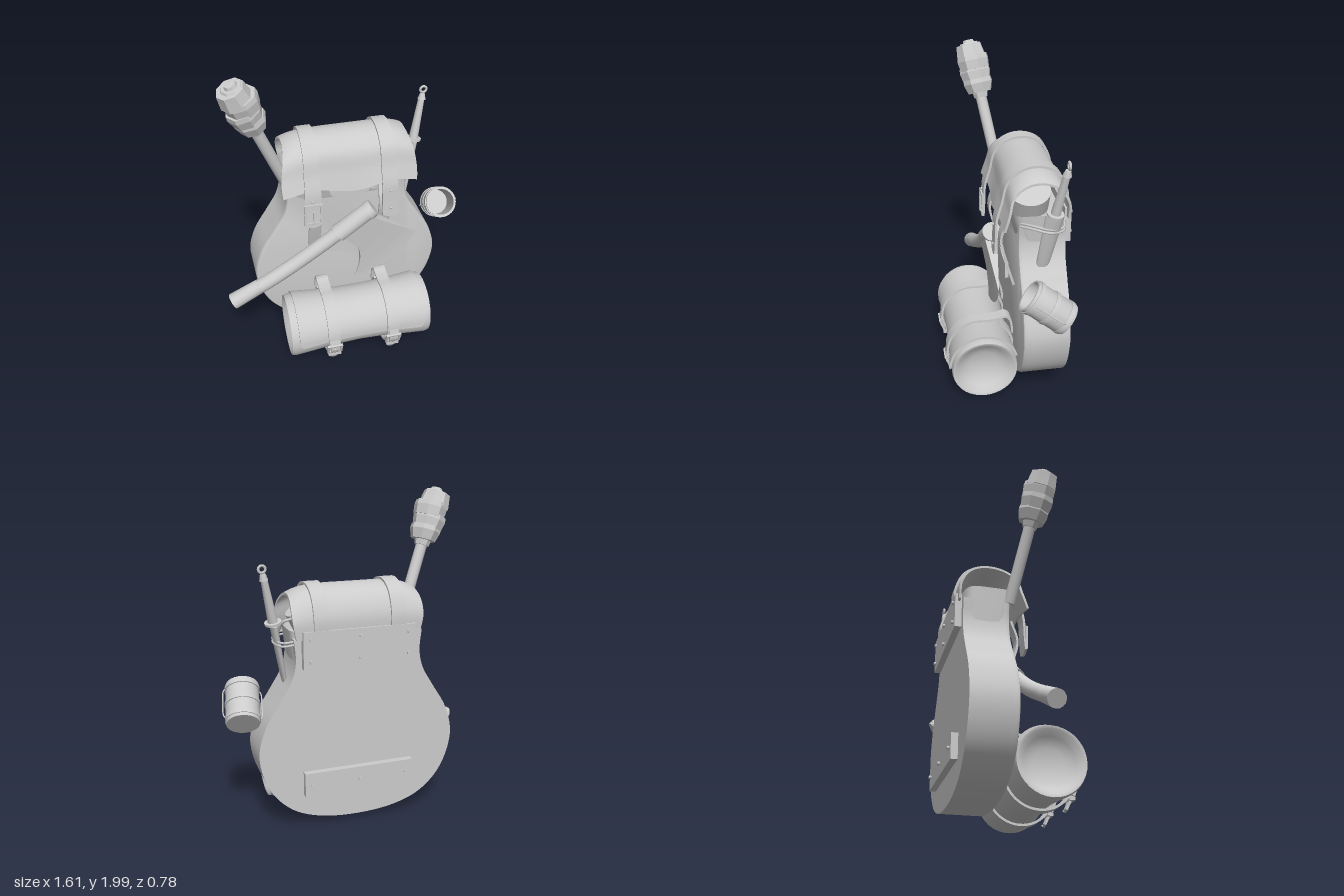
import * as THREE from 'three';
import { toCreasedNormals } from 'three/addons/utils/BufferGeometryUtils.js';

const V = (x, y, z) => new THREE.Vector3(x, y, z);
const UP = V(0, 1, 0);
const mat = new THREE.MeshStandardMaterial({ color: 0xcccccc, side: THREE.DoubleSide });
const flatMat = new THREE.MeshStandardMaterial({ color: 0xcccccc, flatShading: true });

function add(parent, name, geometry, material = mat) {
  const mesh = new THREE.Mesh(geometry, material);
  mesh.name = name;
  parent.add(mesh);
  return mesh;
}

// Group whose +y axis runs from a towards b
function along(parent, name, a, b) {
  const g = new THREE.Group();
  g.name = name;
  g.position.copy(a);
  g.quaternion.setFromUnitVectors(UP, b.clone().sub(a).normalize());
  parent.add(g);
  return g;
}

const lathe = (points, sides = 32, crease = 0.6) => toCreasedNormals(
  new THREE.LatheGeometry(points.map(p => new THREE.Vector2(p[0], p[1])), sides), crease);

function rod(parent, name, a, b, ra, rb, sides = 16) {
  const L = a.distanceTo(b);
  return add(along(parent, name, a, b), name, lathe([[0, 0], [ra, 0], [rb, L], [0, L]], sides));
}

function extrude(shape, depth, z, bevel = { bevelEnabled: false }) {
  const g = new THREE.ExtrudeGeometry(shape, { depth, curveSegments: 10, ...bevel });
  return toCreasedNormals(g.translate(0, 0, z), 0.5);
}

const tube = (points, r, n = 32, sides = 8) =>
  new THREE.TubeGeometry(new THREE.CatmullRomCurve3(points.map(p => V(...p))), n, r, sides);

// Leather strip of given width bent along a side profile of [z, y] points
function strip(profile, x, width, thick, n = 40, nx = 2, deform) {
  const curve = new THREE.CatmullRomCurve3(profile.map(([z, y]) => V(0, y, z)));
  const g = new THREE.BoxGeometry(width, 1, thick, nx, n, 1);
  const pos = g.attributes.position, p = V(), out = V(), X = V(1, 0, 0);
  for (let i = 0; i < pos.count; i++) {
    p.fromBufferAttribute(pos, i);
    const t = 0.5 - p.y, u = p.x / width * 2;
    out.crossVectors(X, curve.getTangentAt(t).negate());
    const q = curve.getPointAt(t).addScaledVector(out, p.z);
    q.x = p.x + x;
    if (deform) deform(q, t, u);
    pos.setXYZ(i, q.x, q.y, q.z);
  }
  g.computeVertexNormals();
  return g;
}

// Rectangular buckle with a tongue
function buckle(parent, x, y, z, w, h, tilt) {
  const s = new THREE.Shape(), hole = new THREE.Path(), b = 0.016;
  const rect = (p, a, c) => p.moveTo(-a, -c).lineTo(a, -c).lineTo(a, c).lineTo(-a, c).closePath();
  rect(s, w / 2, h / 2);
  rect(hole, w / 2 - b, h / 2 - b);
  s.holes.push(hole);
  const g = new THREE.Group();
  g.name = 'buckle';
  add(g, 'buckleFrame', extrude(s, 0.016, -0.008));
  add(g, 'buckleTongue', new THREE.BoxGeometry(0.01, h * 0.6, 0.012)).position.set(0, -h * 0.12, 0.01);
  g.position.set(x, y, z);
  g.rotation.x = tilt;
  parent.add(g);
}

// Pear-shaped pack, collar and back boards
function buildBody(root) {
  const half = [[0.25, 0.07], [0.42, 0.14], [0.55, 0.28], [0.615, 0.5], [0.575, 0.68],
    [0.48, 0.84], [0.41, 0.96], [0.385, 1.07], [0.395, 1.2]];
  const pts = [...half.map(([x, y]) => [-x, y]).reverse(), [0, 0.045], ...half];
  const s = new THREE.Shape();
  s.setFromPoints(new THREE.CatmullRomCurve3(pts.map(([x, y]) => V(x + 0.01, y, 0)))
    .getPoints(90).map(p => new THREE.Vector2(p.x, p.y)));
  add(root, 'packBody', extrude(s, 0.256, -0.332));
  add(root, 'frontPanel', extrude(s, 0.02, -0.095,
    { bevelThickness: 0.022, bevelSize: 0.012, bevelOffset: -0.012, bevelSegments: 3 }));

  const collar = new THREE.CylinderGeometry(1, 1, 1, 48, 6, true);
  const pos = collar.attributes.position;
  const round = c => Math.sign(c) * Math.pow(Math.abs(c), 0.35);
  for (let i = 0; i < pos.count; i++) {
    const t = pos.getY(i) + 0.5, front = -0.055 + 0.055 * t, mid = (front - 0.33) / 2;
    const cx = round(pos.getX(i)), cz = round(pos.getZ(i));
    const dip = cz > 0.5 ? 0.06 * Math.max(0, 1 - Math.abs(cx) * 2) : 0;
    pos.setXYZ(i, 0.01 + cx * (0.385 + 0.02 * t), 1.05 + (0.21 - 0.02 * cx - dip) * t, mid + cz * (front + 0.33) / 2);
  }
  collar.computeVertexNormals();
  add(root, 'packCollar', collar);
  const fold = new THREE.Shape([[-0.14, 1.2], [-0.1, 1.1], [0.02, 1.04], [0.14, 1.1], [0.18, 1.2]]
    .map(p => new THREE.Vector2(...p)));
  add(root, 'collarFold', extrude(fold, 0.015, -0.02));

  for (const [name, y, h, rows] of [['upperBackBoard', 1.14, 0.22, [-0.065, 0.065]], ['lowerBackBoard', 0.305, 0.15, [0]]]) {
    add(root, name, new THREE.BoxGeometry(0.69, h, 0.04)).position.set(0.015, y, -0.352);
    for (const dy of rows) for (const dx of [-0.3, 0, 0.3]) {
      const nail = add(root, 'nail', new THREE.CylinderGeometry(0.011, 0.011, 0.02, 8));
      nail.rotation.x = Math.PI / 2;
      nail.position.set(0.015 + dx, y + dy, -0.376);
    }
  }
}

// Top flap, its straps and the bundle poking out below it
function buildFlap(root) {
  const over = [[-0.35, 1.2], [-0.345, 1.33], [-0.29, 1.43], [-0.2, 1.475], [-0.1, 1.465],
    [-0.02, 1.4], [0.012, 1.28], [0.042, 1.17]];
  add(root, 'topFlap', strip(over, 0.01, 0.8, 0.014, 44, 32, (p, t, u) => {
    p.x = 0.015 + (p.x - 0.01) * (0.95 + 0.1 * t + 0.03 * Math.sin(t * 9));
    p.y -= 0.045 * Math.pow(Math.abs(u), 5) * Math.sin(Math.PI * t);
    p.y -= 0.018 * Math.pow(t, 6) * Math.cos(u * 5.2);
    p.z += 0.008 * Math.pow(t, 3) * Math.sin(u * 5);
  }));
  rod(root, 'stowedBundle', V(0.17, 1.1, -0.14), V(0.285, 1.35, -0.135), 0.12, 0.125, 24);
  const path = [[-0.36, 1.2], [-0.357, 1.33], [-0.3, 1.443], [-0.2, 1.49], [-0.095, 1.478],
    [-0.005, 1.405], [0.03, 1.28], [0.06, 1.17], [0.066, 1.05], [0.072, 0.935]];
  for (const x of [-0.22, 0.25]) {
    const side = Math.sign(x);
    add(root, 'flapStrap', strip(path, x, 0.088, 0.014, 56, 4, (p, t, u) => {
      p.x += side * 0.015 * t * t + u * 0.01 * t * t;
      if (t > 0.98) p.y += 0.02 * u * u;
    }));
    add(root, 'lowerStrap', strip([[-0.01, 1.15], [0.03, 1.02], [0, 0.88], [-0.05, 0.7]], x + side * -0.01, 0.08, 0.014, 16));
    for (const y of [1.0, 1.13]) {
      add(root, 'strapStud', new THREE.SphereGeometry(0.009, 8, 6)).position.set(x + side * 0.014, y, 0.076);
    }
  }
  buckle(root, -0.232, 1.035, 0.076, 0.115, 0.15, 0);
}

// Bedroll with wrapped edge and two buckled straps
function buildBedroll(root) {
  const cx = 0.015, cy = 0.225, cz = 0.16;
  const end = [[0, 0.39], [0.09, 0.402], [0.15, 0.425], [0.182, 0.464], [0.2, 0.467], [0.206, 0.44], [0.198, 0.33], [0.184, 0.18]];
  const profile = [...end.map(([r, x]) => [r, -x]), [0.178, 0], ...end.slice().reverse()];
  const roll = add(root, 'bedroll', lathe(profile, 36, 0.9));
  roll.rotation.z = -Math.PI / 2;
  roll.position.set(cx, cy, cz);

  const arc = (r, a0, a1, n = 14) => Array.from({ length: n + 1 }, (_, i) => {
    const a = a0 + (a1 - a0) * i / n;
    return [cz + r * Math.cos(a), cy + r * Math.sin(a)];
  });
  add(root, 'bedrollEdge', strip(arc(0.188, 2.9, -0.12), cx, 0.84, 0.014, 36, 24, (p, t, u) => {
    const k = 1 + 0.12 * u * u;
    p.y = cy + (p.y - cy) * k;
    p.z = cz + (p.z - cz) * k;
    if (t > 0.93) p.x = cx + (p.x - cx) * (1 - 0.06 * Math.pow((t - 0.93) / 0.07, 3));
  }));
  for (const x of [-0.178, 0.22]) {
    add(root, 'bedrollStrap', strip([[-0.05, 0.32], [-0.03, 0.43], [0, 0.452], [0.04, 0.44], ...arc(0.211, 1.75, -4.0, 22)], x, 0.078, 0.014, 70));
    add(root, 'strapTail', strip([[0.37, 0.23], [0.38, 0.15], [0.345, 0.08], [0.315, 0.015]], x, 0.065, 0.014, 16, 4, (p, t, u) => {
      p.x -= u * 0.012 * t;
      if (t > 0.95) p.y += 0.015 * u * u;
    }));
    add(root, 'strapKeeper', new THREE.BoxGeometry(0.085, 0.022, 0.035)).position.set(x, 0.09, 0.35);
    buckle(root, x, 0.145, 0.372, 0.1, 0.09, 0.35);
  }
}

// Axe slung across the front
function buildAxe(root) {
  const axe = new THREE.Group();
  axe.name = 'axe';
  root.add(axe);
  add(axe, 'axeHandle', tube([[-0.75, 0.465, 0.085], [-0.55, 0.565, 0.085], [-0.35, 0.675, 0.072], [-0.1, 0.84, 0.066], [0.13, 1.005, 0.066]], 0.047, 40, 16));
  rod(axe, 'handleButt', V(-0.78, 0.447, 0.085), V(-0.6, 0.54, 0.085), 0.053, 0.048);
  rod(axe, 'axeSocket', V(-0.08, 0.855, 0.066), V(0.125, 1.0, 0.066), 0.058, 0.056);
  rod(axe, 'socketLip', V(0.115, 0.993, 0.066), V(0.15, 1.018, 0.066), 0.06, 0.058);
  const s = new THREE.Shape();
  s.moveTo(0.14, 0.97).quadraticCurveTo(0.24, 0.9, 0.44, 0.78);
  s.quadraticCurveTo(0.34, 0.56, 0.03, 0.475);
  s.quadraticCurveTo(0.09, 0.62, 0.05, 0.73).lineTo(-0.05, 0.84).closePath();
  const g = new THREE.ExtrudeGeometry(s, { depth: 2, bevelEnabled: false, curveSegments: 14 }).translate(0, 0, -1);
  const pos = g.attributes.position;
  for (let i = 0; i < pos.count; i++) {
    // Wedge: thick near the socket, thin at the cutting edge
    const d = (pos.getX(i) - 0.03) * 0.58 - (pos.getY(i) - 0.91) * 0.81;
    pos.setZ(i, 0.07 + pos.getZ(i) * Math.max(0.003, 0.04 - 0.11 * Math.max(0, d)));
  }
  add(axe, 'axeBlade', toCreasedNormals(g, 0.5));
  // Leather loop holding the head
  const band = new THREE.Shape();
  band.moveTo(-0.22, 0.76).quadraticCurveTo(-0.08, 0.71, 0.06, 0.73).lineTo(0.065, 0.62);
  band.quadraticCurveTo(-0.1, 0.615, -0.22, 0.685).closePath();
  add(root, 'axeLoop', extrude(band, 0.04, -0.07));
}

// Torch with wrapped faceted head
function buildTorch(root) {
  const b = V(-0.545, 1.67, 0.035), top = V(-0.662, 1.99, 0.096);
  rod(root, 'torchHandle', V(-0.366, 1.2, -0.053), b, 0.036, 0.036, 12);
  const head = along(root, 'torchHead', b, top);
  head.rotateY(0.2);
  add(head, 'torchCollar', lathe([[0, -0.03], [0.045, -0.03], [0.055, 0.02], [0, 0.02]], 8), flatMat);
  [[0.078, 0.098, 0.005], [0.092, 0.104, 0.08], [0.098, 0.105, 0.155], [0.098, 0.088, 0.225]].forEach(([r0, r1, y], i) => {
    const m = add(head, 'torchWrap', lathe([[0, y], [r0, y], [r1, y + 0.06], [r1 * 0.95, y + 0.09], [0, y + 0.09]], 8, 0.1), flatMat);
    m.rotation.z = (i % 2 ? 1 : -1) * 0.04;
  });
  add(head, 'torchTip', lathe([[0, 0.3], [0.075, 0.3], [0.058, 0.325], [0.04, 0.325], [0.034, 0.343], [0, 0.345]], 8, 0.1), flatMat);
}

// Sheathed dagger on the left flank
function buildDagger(root) {
  const guard = V(0.5, 1.285, -0.24), end = V(0.559, 1.57, -0.285), tip = V(0.425, 0.89, -0.185);
  rod(root, 'daggerGrip', guard, end, 0.03, 0.019, 12);
  rod(root, 'daggerCap', V(0.556, 1.545, -0.282), V(0.562, 1.58, -0.287), 0.026, 0.016, 12);
  add(root, 'pommelRing', new THREE.TorusGeometry(0.02, 0.008, 8, 20)).position.set(0.567, 1.608, -0.29);
  const g = along(root, 'sheath', tip, guard);
  const sheath = add(g, 'sheath', lathe([[0, -0.01], [0.028, 0], [0.04, 0.06], [0.056, 0.4], [0, 0.4]], 12));
  sheath.scale.x = 0.4;
  add(g, 'daggerGuard', new THREE.CylinderGeometry(0.05, 0.05, 0.014, 20)).position.y = 0.41;
  for (const y of [1.19, 1.17]) {
    add(root, 'sheathTie', tube([[0.39, y, -0.06], [0.46, y + 0.01, -0.13], [0.5, y, -0.22], [0.46, y - 0.01, -0.3], [0.39, y, -0.32]], 0.007));
  }
  add(root, 'sheathHook', tube([[0.4, 1.32, -0.3], [0.45, 1.3, -0.28], [0.47, 1.24, -0.24], [0.48, 1.18, -0.23]], 0.008));
}

// Banded tankard hanging beside the pack
function buildMug(root) {
  const g = along(root, 'mug', V(0.703, 0.715, -0.285), V(0.66, 0.875, -0.065));
  const L = 0.272;
  add(g, 'mugCup', lathe([[0, 0], [0.096, 0], [0.1, 0.01], [0.098, L], [0.086, L], [0.086, 0.02], [0, 0.02]], 32));
  for (const y of [0.03, 0.135, L - 0.03]) {
    add(g, 'mugBand', lathe([[0.098, y - 0.012], [0.104, y - 0.012], [0.104, y + 0.012], [0.098, y + 0.012]]));
  }
  for (const s of [-1, 1]) {
    add(g, 'mugHandle', tube([[0.095 * s, 0.03, 0], [0.112 * s, 0.05, 0], [0.115 * s, 0.14, 0], [0.112 * s, 0.22, 0], [0.095 * s, 0.245, 0]], 0.004));
  }
}

export function createModel() {
  const root = new THREE.Group();
  root.name = 'adventurerPack';
  for (const build of [buildBody, buildFlap, buildBedroll, buildAxe, buildTorch, buildDagger, buildMug]) build(root);
  return root;
}
